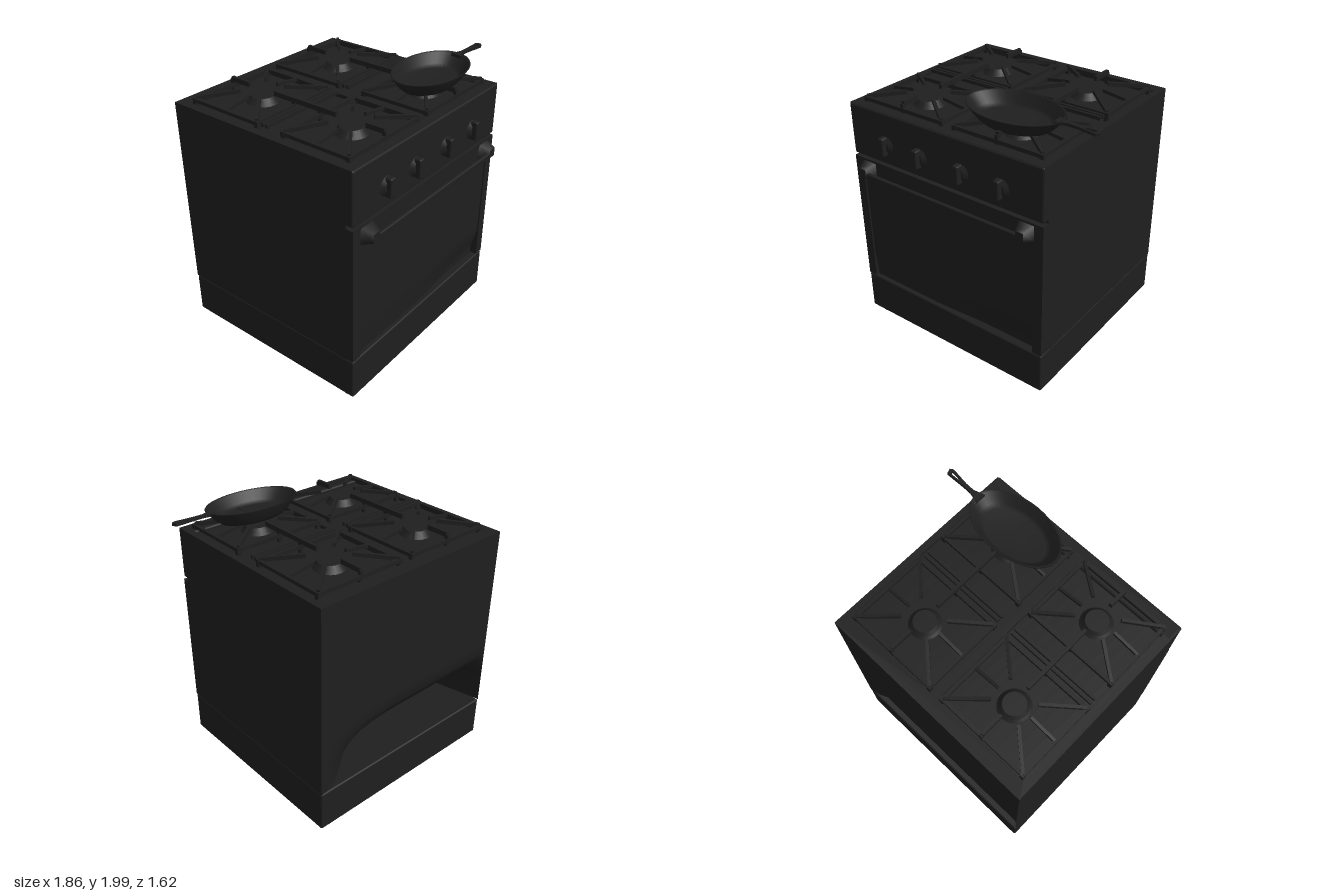
import * as THREE from 'three';
import { RoundedBoxGeometry } from 'three/addons/geometries/RoundedBoxGeometry.js';

export function createModel() {
  const root = new THREE.Group();
  root.name = 'gasCooker';
  const enamel = new THREE.MeshStandardMaterial({ color: 0x1f1f1f, side: THREE.DoubleSide });
  enamel.name = 'blackEnamel';

  const add = (name, geo, parent = root) => {
    const mesh = new THREE.Mesh(geo, enamel);
    mesh.name = name;
    parent.add(mesh);
    return mesh;
  };
  const group = (name) => {
    const g = new THREE.Group();
    g.name = name;
    root.add(g);
    return g;
  };
  // Box given by its limits on each axis
  const box = (name, x0, x1, y0, y1, z0, z1, parent, r = 0) => {
    const s = [x1 - x0, y1 - y0, z1 - z0];
    const geo = r ? new RoundedBoxGeometry(...s, 2, r) : new THREE.BoxGeometry(...s);
    const m = add(name, geo, parent);
    m.position.set((x0 + x1) / 2, (y0 + y1) / 2, (z0 + z1) / 2);
    return m;
  };
  // Square bar between two points in the parent's frame
  const bar = (name, a, b, w, h, parent) => {
    const p = new THREE.Vector3(...a), q = new THREE.Vector3(...b);
    const m = add(name, new THREE.BoxGeometry(w, h, p.distanceTo(q)), parent);
    m.position.copy(p).add(q).multiplyScalar(0.5);
    m.quaternion.setFromRotationMatrix(new THREE.Matrix4().lookAt(q, p, m.up));
    return m;
  };
  const smooth = THREE.MathUtils.smoothstep;
  const L = -0.93, R = 0.73, BACK = -0.81, FRONT = 0.735;

  // Body: back wall curves inward above the drawer
  const bodyGeo = new THREE.BoxGeometry(R - L, 1.435, 1.49, 20, 16, 1);
  bodyGeo.translate((L + R) / 2, 1.0575, -0.065);
  const bp = bodyGeo.attributes.position;
  for (let i = 0; i < bp.count; i++) {
    const x = bp.getX(i), y = bp.getY(i);
    if (bp.getZ(i) > 0) continue;
    const across = smooth(x, L, L + 0.1) * (1 - smooth(x, 0, R));
    bp.setZ(i, BACK + 0.4 * across * (1 - smooth(y, 0.35, 0.8)));
  }
  bodyGeo.computeVertexNormals();
  add('body', bodyGeo);

  // Storage drawer and its low front corner
  box('drawer', L, R, 0.02, 0.338, BACK, FRONT, root, 0.012);
  const foot = add('cornerFoot', new THREE.CylinderGeometry(0.14, 0.03, 0.022, 16));
  foot.scale.z = 0.45;
  foot.position.set(-0.79, 0.011, 0.67);

  // Control panel
  box('controlPanel', L, R, 1.41, 1.8, 0.6, FRONT, root, 0.015);

  // Oven door: stiles, top rail and sunken panel
  const door = group('ovenDoor');
  box('doorStile', L, -0.855, 0.345, 1.39, 0.6, FRONT, door);
  box('doorStile', 0.655, R, 0.345, 1.39, 0.6, FRONT, door);
  box('doorRail', -0.855, 0.655, 1.365, 1.39, 0.6, FRONT, door);
  box('doorSill', L + 0.02, R - 0.02, 0.33, 0.352, 0.55, 0.67, door);
  const panelGeo = new THREE.PlaneGeometry(1.5, 1.025, 16, 14);
  panelGeo.translate(-0.1, 0.8575, 0.728);
  const pp = panelGeo.attributes.position;
  for (let i = 0; i < pp.count; i++) {
    const sink = 0.02 + 0.035 * smooth(pp.getX(i), -0.3, 0.5);
    pp.setZ(i, 0.728 - sink * (1 - smooth(pp.getY(i), 0.35, 0.6)));
  }
  panelGeo.computeVertexNormals();
  add('doorPanel', panelGeo, door);

  // Door handle on two tapered brackets
  const handle = group('doorHandle');
  box('handleBar', -0.82, 0.62, 1.27, 1.315, 0.775, 0.805, handle, 0.01);
  for (const x of [-0.79, 0.6]) {
    const b = add('handleBracket', new THREE.CylinderGeometry(0.045, 0.085, 0.08, 4, 1), handle);
    b.geometry.rotateY(Math.PI / 4).rotateX(Math.PI / 2);
    b.position.set(x, 1.315, 0.772);
  }

  // Control knobs with grips
  for (const x of [-0.6, -0.29, 0.07, 0.4]) {
    const knob = group('knob');
    knob.position.set(x, 1.56, FRONT);
    const base = add('knobBase', new THREE.CylinderGeometry(0.04, 0.07, 0.02, 20), knob);
    base.rotation.x = Math.PI / 2;
    base.position.z = 0.01;
    box('knobGrip', -0.024, 0.024, -0.07, 0.07, 0, 0.055, knob, 0.012);
  }

  // Hob rim with two sunken wells
  const rect = (P, x0, x1, z0, z1) => new P([[x0, z0], [x1, z0], [x1, z1], [x0, z1]]
    .map(([x, z]) => new THREE.Vector2(x, -z)));
  const rim = rect(THREE.Shape, L, R, BACK, FRONT - 0.01);
  rim.holes.push(rect(THREE.Path, -0.87, -0.13, -0.71, 0.66), rect(THREE.Path, -0.06, 0.68, -0.71, 0.66));
  const rimGeo = new THREE.ExtrudeGeometry(rim, { depth: 0.028, bevelEnabled: false });
  rimGeo.rotateX(-Math.PI / 2);
  add('hobRim', rimGeo).position.y = 1.772;

  // Burners and pan supports, one set per well
  for (const cx of [-0.5, 0.305]) {
    const grate = group('grate');
    grate.position.x = cx;
    const hx = 0.345, low = 1.82, top = 1.865, mid = 1.835;
    for (const [z0, z1] of [[-0.69, -0.11], [0.12, 0.64]]) {
      const cz = (z0 + z1) / 2;
      for (const s of [-1, 1]) {
        bar('grateSide', [s * hx, low, z0], [s * hx, low, z1], 0.025, 0.025, grate);
        for (const z of [z0, z1]) {
          bar('grateFoot', [s * hx, 1.77, z], [s * hx, mid, z], 0.03, 0.03, grate);
          bar('grateFinger', [s * hx, mid, z],
            [s * 0.12, top, cz + Math.sign(z - cz) * 0.09], 0.022, 0.028, grate);
        }
        // Side finger toward the burner
        bar('grateSideFinger', [s * hx, low, cz], [s * 0.14, 1.85, cz], 0.02, 0.024, grate);
      }
      for (const z of [z0, z1]) {
        bar('grateEnd', [-hx, low, z], [hx, low, z], 0.026, 0.028, grate);
        const inner = cz + Math.sign(z - cz) * 0.12;
        bar('grateMiddleFinger', [0, top, z], [0, top, inner], 0.024, 0.035, grate);
        bar('grateMiddlePost', [0, 1.77, z], [0, top, z], 0.024, 0.024, grate);
      }
      // Burner base and cap
      const ring = add('burnerBase', new THREE.CylinderGeometry(0.09, 0.12, 0.03, 20), grate);
      ring.position.set(0, 1.785, cz);
      const cap = add('burnerCap', new THREE.CylinderGeometry(0.08, 0.1, 0.025, 20), grate);
      cap.position.set(0, 1.81, cz);
    }
    bar('grateBridge', [0, top, -0.11], [0, top, 0.12], 0.024, 0.035, grate);
    for (const z of [-0.03, -0.065]) {
      bar('grateCrossBar', [-hx, low, z], [hx, low, z], 0.02, 0.025, grate);
    }
  }

  // Oval frying pan, slightly tilted toward the front
  const pan = group('fryingPan');
  pan.position.set(0.295, 1.87, 0.435);
  pan.rotation.x = 0.06;
  const profile = [[0, 0], [0.26, 0], [0.3, 0.03], [0.365, 0.106], [0.36, 0.112], [0.345, 0.106],
    [0.285, 0.04], [0.25, 0.016], [0, 0.016]].map(([x, y]) => new THREE.Vector2(x, y));
  add('panBowl', new THREE.LatheGeometry(profile, 40), pan).scale.z = 0.61;

  // Pan handle with hanging hole
  const grip = new THREE.Shape([[0.32, -0.04], [0.4, -0.014], [0.47, -0.016], [0.61, -0.036], [0.633, -0.02],
    [0.62, 0.015], [0.47, 0.012], [0.4, 0.014], [0.32, 0.04]].map(([x, y]) => new THREE.Vector2(x, y)));
  grip.holes.push(new THREE.Path([[0.53, -0.012], [0.605, -0.02], [0.603, 0.002], [0.53, 0]]
    .map(([x, y]) => new THREE.Vector2(x, y))));
  const gripGeo = new THREE.ExtrudeGeometry(grip, { depth: 0.02, bevelEnabled: false });
  gripGeo.rotateX(-Math.PI / 2);
  add('panHandle', gripGeo, pan).position.y = 0.09;

  return root;
}
